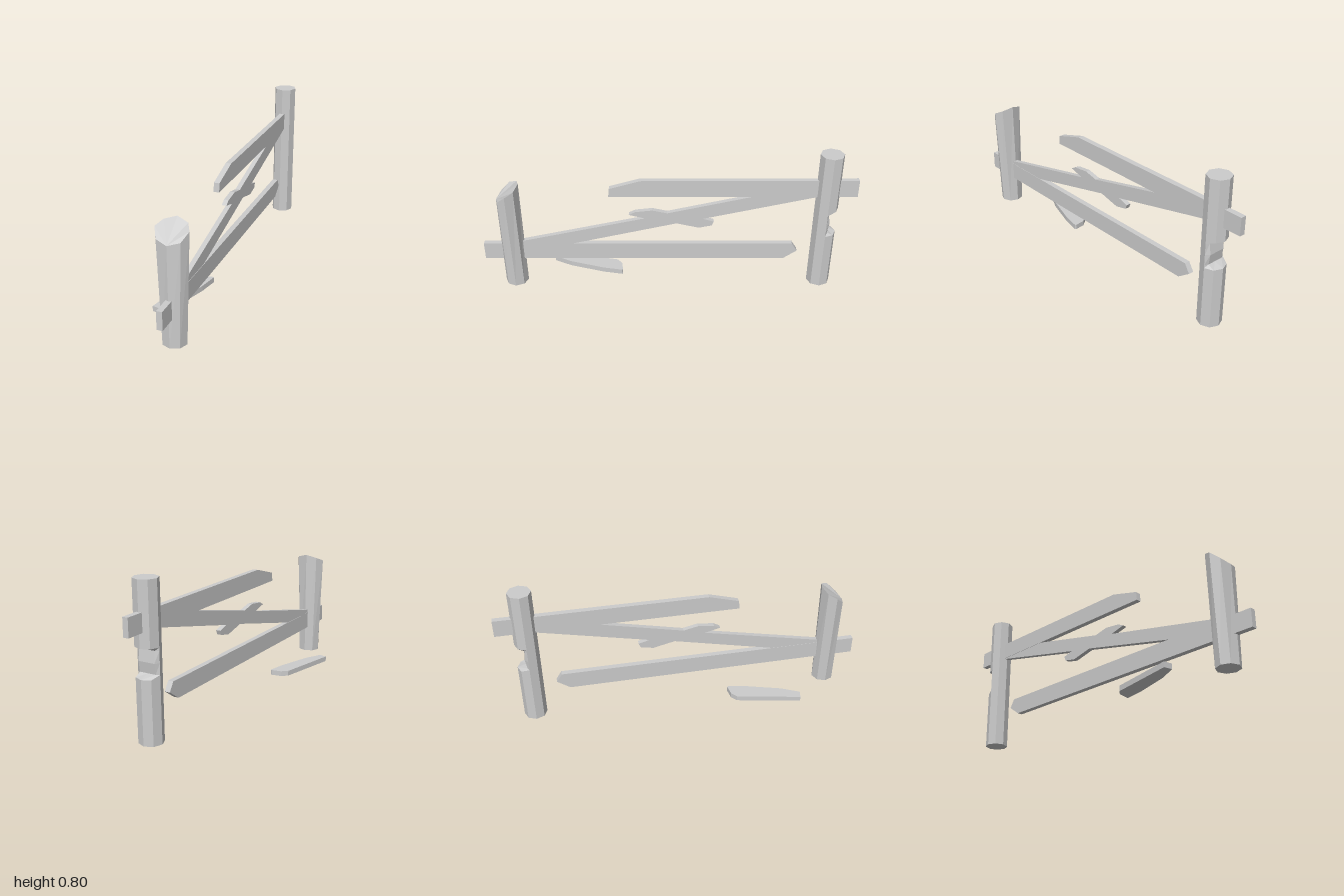
import * as THREE from 'three';

const material = new THREE.MeshStandardMaterial({ color: 0xcccccc, flatShading: true });
const SIDES = 8;

function addMesh(group, name, geometry) {
  const mesh = new THREE.Mesh(geometry, material);
  mesh.name = name;
  group.add(mesh);
}

// Closed solid from eight-sided rings; each ring maps an angle index to [x, y, z]
function ringSolid(rings) {
  const pos = [];
  const tri = (a, b, c) => pos.push(...a, ...b, ...c);
  const pts = rings.map(ring => Array.from({ length: SIDES }, (_, i) => ring(i)));
  for (let r = 0; r < pts.length - 1; r++) {
    for (let i = 0; i < SIDES; i++) {
      const j = (i + 1) % SIDES;
      tri(pts[r][i], pts[r][j], pts[r + 1][j]);
      tri(pts[r][i], pts[r + 1][j], pts[r + 1][i]);
    }
  }
  const low = pts[0], top = pts[pts.length - 1];
  for (let i = 1; i < SIDES - 1; i++) {
    tri(low[0], low[i + 1], low[i]);
    tri(top[0], top[i], top[i + 1]);
  }
  const geometry = new THREE.BufferGeometry();
  geometry.setAttribute('position', new THREE.Float32BufferAttribute(pos, 3));
  geometry.computeVertexNormals();
  return geometry;
}

// Octagonal ring, with optional limit on how far it reaches to the back
function ring(cz, rx, height, backLimit = -Infinity) {
  return i => {
    const a = i / SIDES * Math.PI * 2;
    const y = typeof height === 'function' ? height(i) : height;
    return [0.065 + rx * Math.sin(a), y, Math.max(cz + 0.0625 * Math.cos(a), backLimit)];
  };
}

function extrude(points, depth) {
  const shape = new THREE.Shape(points.map(p => new THREE.Vector2(p[0], p[1])));
  return new THREE.ExtrudeGeometry(shape, { depth, bevelEnabled: false });
}

// Upright plank from a (z, y) outline, centred on the posts
function plank(points, thickness) {
  return extrude(points, thickness).rotateY(-Math.PI / 2).translate(0.065 + thickness / 2, 0, 0);
}

export function createModel() {
  const group = new THREE.Group();
  group.name = 'brokenFence';

  // Tall post with a notch hacked into its back
  const bz = -0.845;
  addMesh(group, 'backPost', ringSolid([
    ring(bz, 0.063, 0),
    ring(bz, 0.063, 0.328),
    ring(bz, 0.063, 0.345, -0.855),
    ring(bz, 0.063, 0.40, -0.863),
    ring(bz, 0.063, 0.46, -0.855),
    ring(bz, 0.063, 0.476),
    ring(bz, 0.063, 0.797),
  ]));

  // Short post widening towards a slanted broken top
  const slant = [0.528, 0.545, 0.585, 0.605, 0.622];
  addMesh(group, 'frontPost', ringSolid([
    ring(0.842, 0.063, 0),
    ring(0.842, 0.085, i => slant[Math.min(i, SIDES - i)]),
  ]));

  // Horizontal rails with snapped ends
  addMesh(group, 'topRail', plank([
    [-1, 0.552], [0.31, 0.552], [0.305, 0.6], [0.14, 0.647], [-1, 0.647],
  ], 0.03));
  addMesh(group, 'bottomRail', plank([
    [1, 0.155], [1, 0.252], [-0.68, 0.252], [-0.71, 0.205], [-0.64, 0.155],
  ], 0.03));

  // Diagonal brace with splinters at its middle
  addMesh(group, 'diagonalBrace', plank([
    [0.84, 0.257], [0.12, 0.415], [0.205, 0.437], [0.17, 0.455], [0.08, 0.465], [0, 0.447],
    [-0.84, 0.64], [-0.84, 0.56], [-0.19, 0.412], [-0.25, 0.395], [-0.24, 0.37],
    [-0.17, 0.355], [-0.05, 0.383], [0.84, 0.176],
  ], 0.026));

  // Broken piece lying on the ground
  const fallen = [
    [0.02, 0.25], [-0.04, 0.258], [-0.073, 0.285], [-0.12, 0.5], [-0.15, 0.637],
    [-0.105, 0.647], [-0.055, 0.55], [0.005, 0.36], [0.026, 0.255],
  ];
  addMesh(group, 'fallenPiece',
    extrude(fallen.map(([x, z]) => [x, -z]), 0.029).rotateX(-Math.PI / 2).translate(0, 0.004, 0));

  return group;
}
